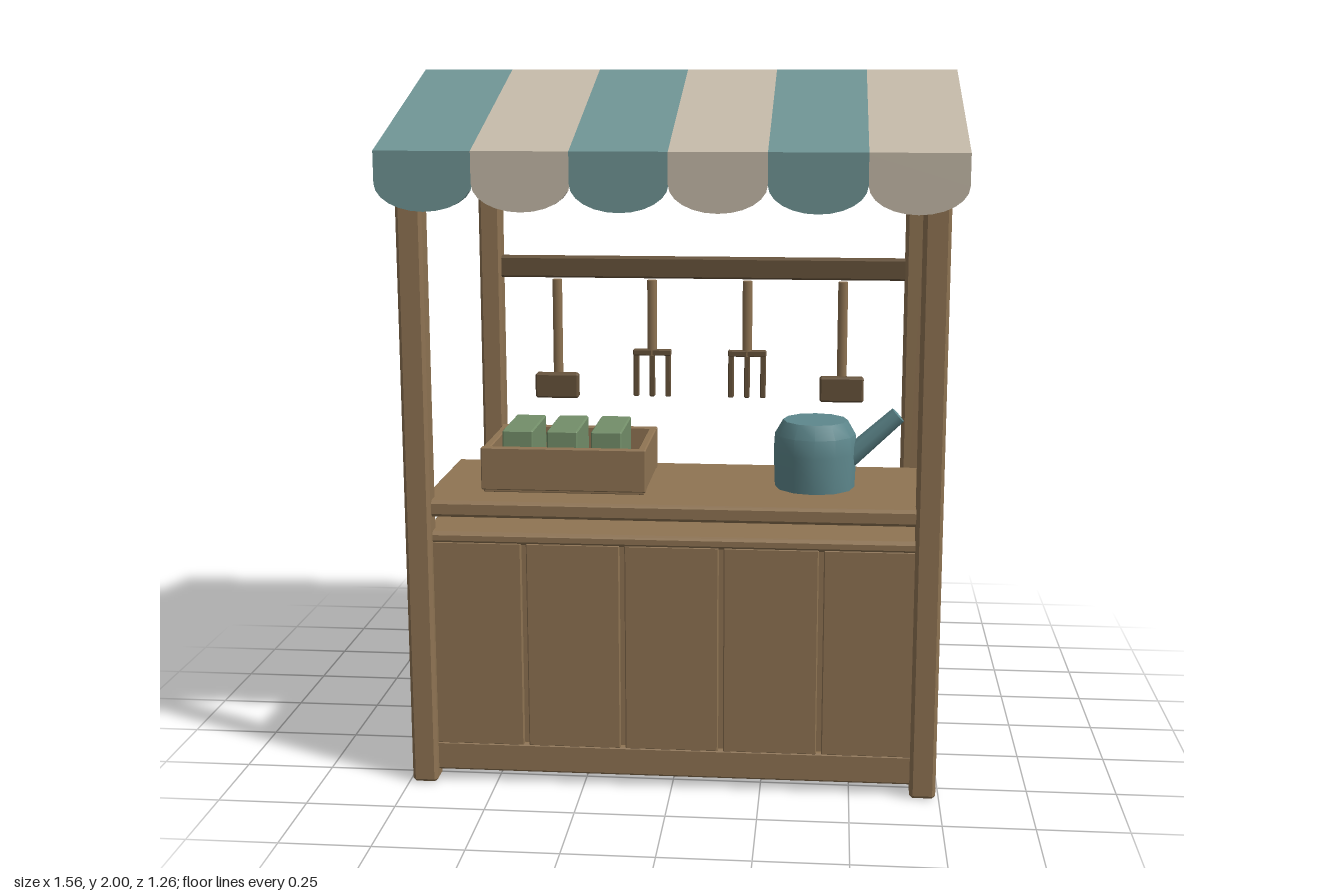
import * as THREE from 'three';
import { toCreasedNormals } from 'three/addons/utils/BufferGeometryUtils.js';
import { ConvexGeometry } from 'three/addons/geometries/ConvexGeometry.js';

const mat = (name, color) => {
  const m = new THREE.MeshStandardMaterial({ color });
  m.name = name;
  return m;
};

// Box between two corners with chamfered edges
function chamferBox([x0, y0, z0], [x1, y1, z1], c) {
  const h = [(x1 - x0) / 2, (y1 - y0) / 2, (z1 - z0) / 2];
  const pts = [];
  for (const sx of [-1, 1]) for (const sy of [-1, 1]) for (const sz of [-1, 1])
    for (let axis = 0; axis < 3; axis++) {
      const [a, b, d] = h.map((v, i) => (i === axis ? v : v - c));
      pts.push(new THREE.Vector3(sx * a, sy * b, sz * d));
    }
  const g = new ConvexGeometry(pts);
  g.translate((x0 + x1) / 2, (y0 + y1) / 2, (z0 + z1) / 2);
  return g;
}

export function createModel() {
  const model = new THREE.Group();
  model.name = 'marketStall';
  const wood = mat('wood', 0x8f7453);
  const darkWood = mat('dark wood', 0x67533b);
  const teal = mat('teal cloth', 0x6f9494);
  const cream = mat('cream cloth', 0xc4b9a8);
  const enamel = mat('blue enamel', 0x5e888d);
  const green = mat('green', 0x738e69);

  const add = (parent, name, geometry, material) => {
    const m = new THREE.Mesh(geometry, material);
    m.name = name;
    parent.add(m);
    return m;
  };
  const group = (name) => {
    const g = new THREE.Group();
    g.name = name;
    model.add(g);
    return g;
  };
  const block = (parent, name, lo, hi, material, c = 0.006) =>
    add(parent, name, chamferBox(lo, hi, c), material);

  // Posts, eave beams and the tool rail
  const frame = group('frame');
  for (const sz of [-1, 1]) {
    for (const sx of [-1, 1])
      block(frame, 'post', [sx * 0.705 - 0.036, 0, sz * 0.545 - 0.036],
        [sx * 0.705 + 0.036, 1.77, sz * 0.545 + 0.036], wood, 0.009);
    block(frame, 'eaveBeam', [-0.7, 1.7, sz * 0.553 - 0.032], [0.7, 1.765, sz * 0.553 + 0.032], darkWood);
  }
  block(frame, 'toolRail', [-0.7, 1.32, -0.57], [0.7, 1.39, -0.52], darkWood);

  // Cabinet with planked front, panelled back and sides, and a raised worktop
  const counter = group('counter');
  block(counter, 'cabinetCore', [-0.683, 0.04, 0.055], [0.683, 0.72, 0.54], wood, 0.002);
  block(counter, 'cabinetBase', [-0.7, 0.03, 0.045], [0.7, 0.115, 0.555], wood);
  block(counter, 'cabinetTopTrim', [-0.7, 0.7, 0.05], [0.7, 0.735, 0.558], wood, 0.01);
  for (let i = 0; i < 5; i++) {
    const x = (i - 2) * 0.276;
    block(counter, 'frontPlank', [x - 0.131, 0.11, 0.53], [x + 0.131, 0.705, 0.554], wood, 0.003);
  }
  block(counter, 'backPanel', [-0.655, 0.125, 0.042], [0.655, 0.7, 0.07], wood, 0.005);
  for (const s of [-1, 1])
    block(counter, 'sidePanel', [s * 0.68 - 0.013, 0.125, 0.075], [s * 0.68 + 0.013, 0.695, 0.53], wood, 0.005);
  block(counter, 'worktop', [-0.705, 0.778, 0.037], [0.705, 0.825, 0.563], wood, 0.009);

  // Striped gabled awning: one roof strip and two scallops per stripe
  const awning = group('awning');
  const stripe = 0.2607;
  const roofShape = new THREE.Shape([
    [-0.63, 1.79], [-0.63, 1.765], [0, 1.975], [0.63, 1.765], [0.63, 1.79], [0, 2],
  ].map(([z, y]) => new THREE.Vector2(z, y)));
  const scallop = new THREE.Shape();
  scallop.moveTo(-stripe / 2, 1.785);
  scallop.lineTo(-stripe / 2, 1.705);
  scallop.absellipse(0, 1.705, stripe / 2, 0.075, Math.PI, Math.PI * 2, false);
  scallop.lineTo(stripe / 2, 1.785);
  scallop.closePath();
  for (let i = 0; i < 6; i++) {
    const cloth = i % 2 ? cream : teal;
    const x = (i - 2.5) * stripe;
    const roof = new THREE.ExtrudeGeometry(roofShape, { depth: stripe, bevelEnabled: false });
    roof.rotateY(Math.PI / 2).translate(x - stripe / 2, 0, 0);
    add(awning, 'roofStripe', roof, cloth);
    for (const z of [-0.63, 0.61]) {
      const g = new THREE.ExtrudeGeometry(scallop, { depth: 0.02, bevelEnabled: false, curveSegments: 6 });
      add(awning, 'scallop', g.translate(x, 0, z), cloth);
    }
  }

  // Hanging tools: scrapers outside, forks inside
  const tools = group('hangingTools');
  [-0.475, -0.16, 0.155, 0.467].forEach((x, i) => {
    const fork = i === 1 || i === 2;
    const bottom = fork ? 1.07 : 0.97;
    const handle = new THREE.CylinderGeometry(0.016, 0.016, 1.32 - bottom, 8);
    add(tools, 'toolHandle', handle.translate(x, (1.32 + bottom) / 2, -0.48), wood);
    if (fork) {
      block(tools, 'forkBar', [x - 0.063, 1.07, -0.49], [x + 0.063, 1.09, -0.465], darkWood, 0.003);
      for (const dx of [-0.053, 0, 0.053])
        block(tools, 'forkTine', [x + dx - 0.009, 0.932, -0.487], [x + dx + 0.009, 1.075, -0.468], darkWood, 0.003);
    } else {
      block(tools, 'scraperHead', [x - 0.072, 0.927, -0.475], [x + 0.072, 1.01, -0.438], darkWood);
    }
  });

  // Open crate holding three green packs
  const crate = group('crate');
  block(crate, 'crateFloor', [-0.54, 0.828, 0.14], [-0.085, 0.875, 0.46], wood, 0.002);
  for (const z of [0.135, 0.443])
    block(crate, 'crateLongSide', [-0.547, 0.835, z], [-0.08, 0.957, z + 0.022], wood, 0.003);
  for (const x of [-0.545, -0.104])
    block(crate, 'crateEnd', [x, 0.836, 0.15], [x + 0.022, 0.955, 0.45], wood, 0.003);
  for (const x of [-0.45, -0.323, -0.197])
    block(crate, 'greenPack', [x - 0.044, 0.87, 0.185], [x + 0.044, 0.997, 0.415], green, 0.004);

  // Watering can
  const can = group('wateringCan');
  const profile = [[0, 0.826], [0.114, 0.826], [0.118, 0.93], [0.115, 0.98], [0.092, 1.02], [0, 1.02]]
    .map(([r, y]) => new THREE.Vector2(r, y));
  const body = toCreasedNormals(new THREE.LatheGeometry(profile, 12), 0.6);
  add(can, 'canBody', body.translate(0.39, 0, 0.3), enamel);
  const from = new THREE.Vector3(0.47, 0.895, 0.3);
  const to = new THREE.Vector3(0.624, 1.037, 0.3);
  const spout = add(can, 'canSpout', new THREE.CylinderGeometry(0.025, 0.03, from.distanceTo(to), 8), enamel);
  spout.position.copy(from).lerp(to, 0.5);
  spout.quaternion.setFromUnitVectors(new THREE.Vector3(0, 1, 0), to.clone().sub(from).normalize());

  return model;
}
